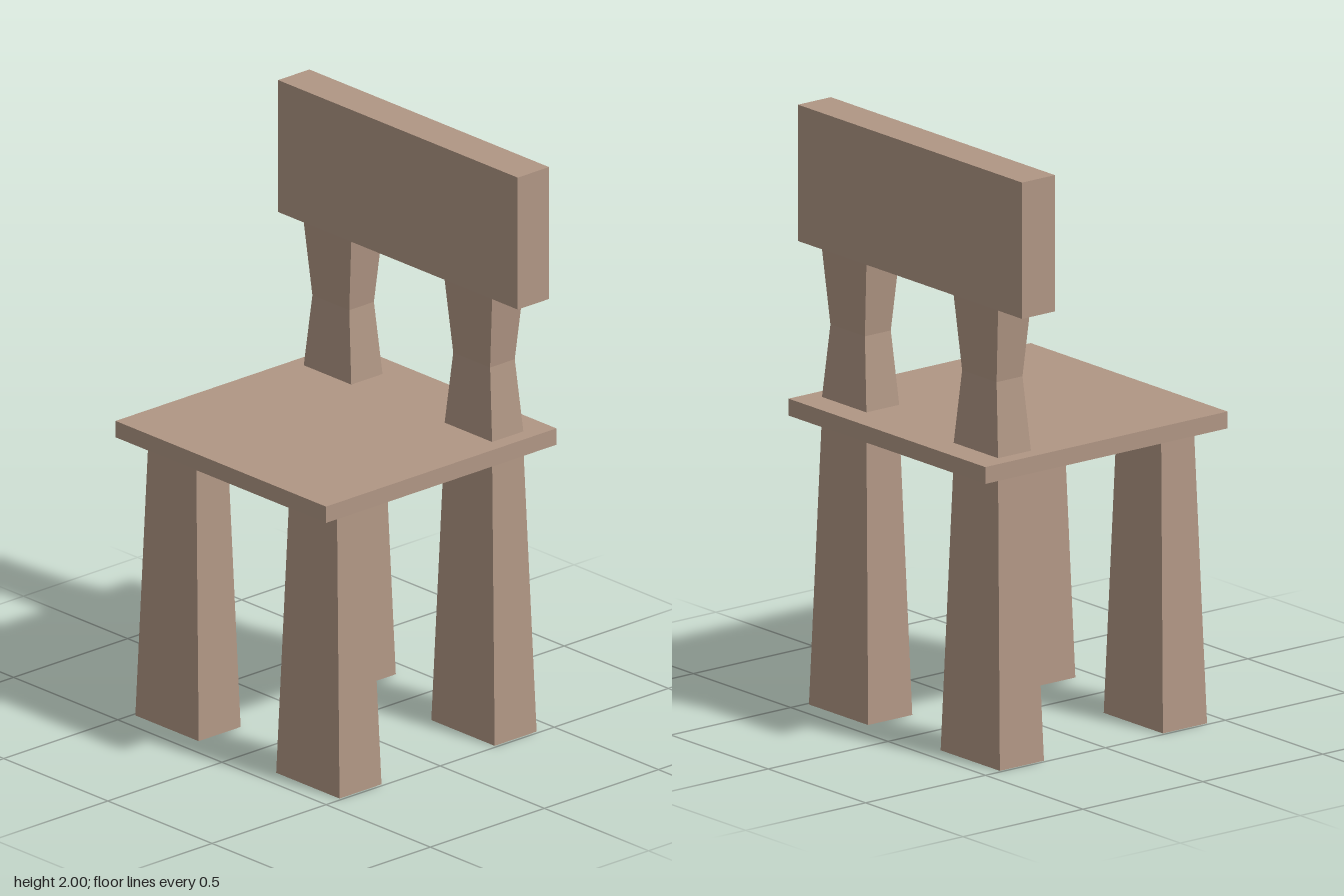
import * as THREE from 'three';

const wood = new THREE.MeshStandardMaterial({ color: 0xb09684, flatShading: true });
wood.name = 'wood';

// Square-edged bar through rings of [y, width, depth], listed from bottom to top
function taperedBar(rings) {
  const n = rings.length - 1;
  const geometry = new THREE.BoxGeometry(1, 1, 1, 1, n, 1);
  const p = geometry.attributes.position;
  for (let i = 0; i < p.count; i++) {
    const [y, w, d] = rings[Math.round((p.getY(i) + 0.5) * n)];
    p.setXYZ(i, p.getX(i) * w, y, p.getZ(i) * d);
  }
  const flat = geometry.toNonIndexed();
  flat.computeVertexNormals();
  return flat;
}

export function createModel() {
  const group = new THREE.Group();
  group.name = 'chair';

  const add = (name, geometry, x, y, z) => {
    const mesh = new THREE.Mesh(geometry, wood);
    mesh.name = name;
    mesh.position.set(x, y, z);
    group.add(mesh);
  };

  // Seat board and backrest board
  add('seat', new THREE.BoxGeometry(1.01, 0.057, 1.01), 0, 1.0135, 0);
  add('backrest', new THREE.BoxGeometry(1.15, 0.46, 0.137), 0, 1.77, -0.34);

  // Legs widen towards the floor; back posts are pinched in the middle
  const leg = taperedBar([[0, 0.304, 0.184], [0.985, 0.228, 0.137]]);
  const post = taperedBar([[1.042, 0.228, 0.137], [1.29, 0.177, 0.108], [1.54, 0.228, 0.137]]);
  for (const [side, x] of [['left', 0.338], ['right', -0.338]]) {
    add(side + 'FrontLeg', leg, x, 0, 0.34);
    add(side + 'BackLeg', leg, x, 0, -0.34);
    add(side + 'BackPost', post, x, 0, -0.34);
  }

  return group;
}
